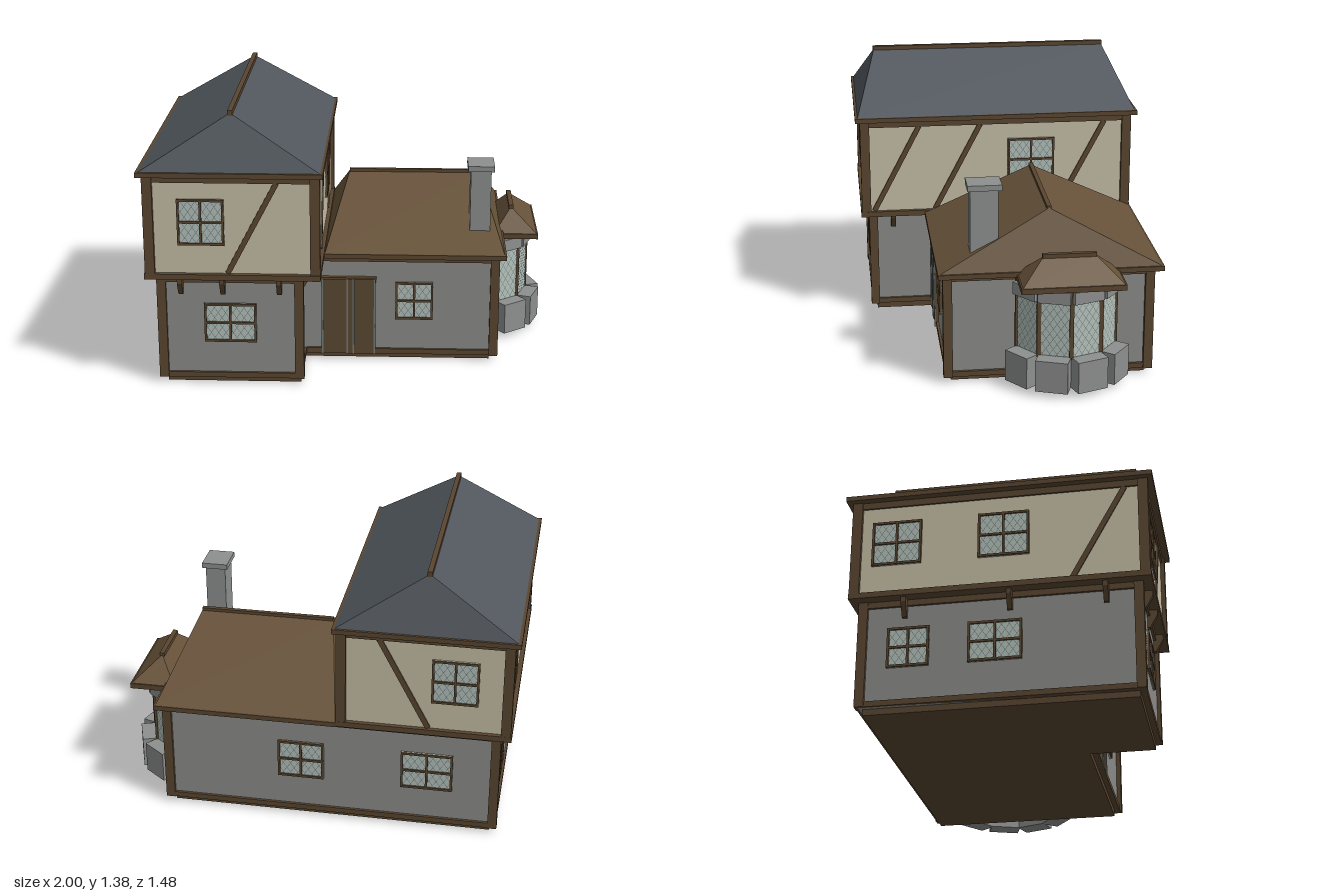
import * as THREE from 'three';
import { mergeGeometries } from 'three/addons/utils/BufferGeometryUtils.js';

export function createModel() {
  const root = new THREE.Group();
  root.name = 'timberFramedHouse';
  const mat = (name, color) => {
    const m = new THREE.MeshStandardMaterial({ color });
    m.name = name;
    return m;
  };
  const beam = mat('timber', 0x5a4630), plaster = mat('greyPlaster', 0x8c8c89), cream = mat('creamPlaster', 0xc6bfa6);
  const slate = mat('slate', 0x50565c), tile = mat('brownTile', 0x665138), doorWood = mat('doorWood', 0x5c4931);
  const glass = mat('glass', 0xb4c2bc), lead = mat('lead', 0x737d7b), stone = mat('stone', 0x8e8f8f);

  const add = (name, geo, m, parent = root) => {
    const mesh = new THREE.Mesh(geo, m);
    mesh.name = name;
    parent.add(mesh);
    return mesh;
  };
  // Box given by its extents
  const box = (name, m, x0, x1, y0, y1, z0, z1, parent) => {
    const g = new THREE.BoxGeometry(x1 - x0, y1 - y0, z1 - z0);
    g.translate((x0 + x1) / 2, (y0 + y1) / 2, (z0 + z1) / 2);
    return add(name, g, m, parent);
  };
  // Four-sided roof: a box whose top is drawn in to the ridge
  const hipRoof = (name, m, [x0, x1, z0, z1], y0, [tx0, tx1, tz0, tz1], y1) => {
    const g = new THREE.BoxGeometry(1, 1, 1), p = g.attributes.position;
    for (let i = 0; i < p.count; i++) {
      const top = p.getY(i) > 0, right = p.getX(i) > 0, front = p.getZ(i) > 0;
      p.setXYZ(i, top ? (right ? tx1 : tx0) : (right ? x1 : x0), top ? y1 : y0,
        top ? (front ? tz1 : tz0) : (front ? z1 : z0));
    }
    g.computeVertexNormals();
    add(name, g, m);
  };
  const post = (x, z, y0, y1, w = 0.045) => box('post', beam, x - w / 2, x + w / 2, y0, y1, z - w / 2, z + w / 2);
  const rail = (x0, x1, y0, y1, z0, z1) => box('rail', beam, x0, x1, y0, y1, z0, z1);

  // Diamond lattice clipped to a w by h pane
  const lattice = (w, h, parent) => {
    const parts = [], dx = 0.036, k = 1.45;
    for (const s of [1, -1]) {
      for (let c = -w - h; c < w + h; c += dx) {
        const xa = Math.max(-w / 2, c - h / 2 / k), xb = Math.min(w / 2, c + h / 2 / k);
        if (xb - xa < 0.005) continue;
        const ya = s * k * (xa - c), yb = s * k * (xb - c);
        const g = new THREE.PlaneGeometry(Math.hypot(xb - xa, yb - ya), 0.0025);
        g.rotateZ(Math.atan2(yb - ya, xb - xa));
        g.translate((xa + xb) / 2, (ya + yb) / 2, 0.007);
        parts.push(g);
      }
    }
    add('lattice', mergeGeometries(parts), lead, parent);
  };
  // Window facing local +z
  const windowAt = (x, y, z, rotY, w, h, mullions = true) => {
    const g = new THREE.Group();
    g.name = 'window';
    g.position.set(x, y, z);
    g.rotation.y = rotY;
    root.add(g);
    box('pane', glass, -w / 2, w / 2, -h / 2, h / 2, -0.003, 0.005, g);
    lattice(w, h, g);
    if (!mullions) return;
    const t = 0.011;
    for (const s of [-1, 0, 1]) {
      const cx = s * (w / 2 - t / 2), cy = s * (h / 2 - t / 2);
      box('upright', beam, cx - t / 2, cx + t / 2, -h / 2, h / 2, 0, 0.014, g);
      box('crossbar', beam, -w / 2, w / 2, cy - t / 2, cy + t / 2, 0, 0.013, g);
    }
  };
  // Diagonal brace: side view from a (along, y) to b, on a wall turned by rotY
  const brace = (x, z, rotY, a, b) => {
    const g = new THREE.Group();
    g.name = 'brace';
    g.position.set(x, 0, z);
    g.rotation.y = rotY;
    const m = add('diagonal', new THREE.BoxGeometry(Math.hypot(b[0] - a[0], b[1] - a[1]), 0.026, 0.024), beam, g);
    m.position.set((a[0] + b[0]) / 2, (a[1] + b[1]) / 2, 0);
    m.rotation.z = Math.atan2(b[1] - a[1], b[0] - a[0]);
    root.add(g);
  };
  // Wedge bracket under the overhang, pointing to local +x
  const bracket = (x, z, rotY) => {
    const s = new THREE.Shape([[0, 0.47], [0.018, 0.47], [0.055, 0.535], [0.055, 0.56], [0, 0.56]]
      .map(([a, b]) => new THREE.Vector2(a, b)));
    const g = new THREE.ExtrudeGeometry(s, { depth: 0.024, bevelEnabled: false });
    g.translate(0, 0, -0.012);
    const m = add('bracket', g, beam);
    m.position.set(x, 0, z);
    m.rotation.y = rotY;
  };
  const Q = Math.PI / 2;

  // Footings
  box('towerFooting', beam, -0.89, -0.23, 0, 0.03, -0.64, 0.64);
  box('wingFooting', beam, -0.23, 0.71, 0, 0.03, -0.64, 0.32);

  // Ground floor
  box('towerLowerWall', plaster, -0.91, -0.235, 0.03, 0.56, -0.655, 0.655);
  box('wingWall', plaster, -0.235, 0.73, 0.03, 0.56, -0.655, 0.335);
  for (const [x, z] of [[-0.905, 0.65], [-0.905, -0.65], [-0.235, 0.65], [0.73, 0.335], [0.73, -0.65]]) post(x, z, 0.03, 0.56);
  for (const [y0, y1] of [[0.03, 0.057], [0.53, 0.56]]) {
    rail(-0.92, -0.225, y0, y1, 0.64, 0.668);
    rail(-0.22, 0.74, y0, y1, 0.32, 0.348);
    rail(-0.92, 0.74, y0, y1, -0.668, -0.64);
    rail(-0.922, -0.89, y0, y1, -0.66, 0.66);
    rail(-0.25, -0.222, y0, y1, 0.34, 0.66);
    rail(0.715, 0.744, y0, y1, -0.66, 0.34);
  }
  for (const x of [-0.81, -0.605, -0.33]) bracket(x, 0.65, -Q);
  for (const z of [-0.45, 0.05, 0.5]) bracket(-0.905, z, Math.PI);
  bracket(-0.235, 0.545, 0);

  // Upper floor of the tower
  box('jettySlab', beam, -0.978, -0.127, 0.56, 0.588, -0.712, 0.715);
  box('towerUpperWall', cream, -0.955, -0.148, 0.585, 1.075, -0.69, 0.69);
  for (const x of [-0.95, -0.152]) {
    for (const z of [-0.687, 0.687]) post(x, z, 0.58, 1.075, 0.048);
    rail(x - 0.014, x + 0.014, 1.045, 1.078, -0.69, 0.69);
  }
  for (const z of [-0.687, 0.687]) rail(-0.955, -0.148, 1.045, 1.078, z - 0.014, z + 0.014);
  brace(0, 0.686, 0, [-0.575, 0.59], [-0.335, 1.045]);
  brace(0, -0.686, 0, [-0.575, 0.59], [-0.335, 1.045]);
  for (const z of [0.645, 0.325, -0.33]) brace(-0.152, 0, Q, [-z, 0.59], [-z + 0.24, 1.045]);
  brace(-0.951, 0, -Q, [0.35, 0.59], [0.6, 1.045]);

  // Tower roof
  box('towerEaves', beam, -1, -0.112, 1.078, 1.102, -0.74, 0.735);
  hipRoof('towerRoof', slate, [-0.985, -0.125, -0.728, 0.722], 1.102, [-0.557, -0.553, -0.615, 0.615], 1.365);
  rail(-0.567, -0.543, 1.355, 1.38, -0.62, 0.62);

  // Wing roof
  box('wingEaves', beam, -0.13, 0.785, 0.556, 0.58, -0.712, 0.382);
  hipRoof('wingRoof', tile, [-0.125, 0.775, -0.702, 0.372], 0.58, [-0.02, 0.66, -0.167, -0.163], 0.855);
  rail(-0.02, 0.66, 0.846, 0.866, -0.176, -0.154);

  // Chimney
  box('chimneyStack', stone, 0.602, 0.705, 0.62, 0.975, 0.085, 0.22);
  box('chimneyCap', stone, 0.587, 0.72, 0.972, 1, 0.068, 0.233);

  // Front windows, then back, left and right
  windowAt(-0.572, 0.32, 0.656, 0, 0.255, 0.2);
  windowAt(0.325, 0.32, 0.336, 0, 0.19, 0.2);
  windowAt(-0.7, 0.848, 0.691, 0, 0.225, 0.23);
  windowAt(-0.572, 0.32, -0.656, Math.PI, 0.255, 0.2);
  windowAt(0.055, 0.32, -0.656, Math.PI, 0.23, 0.2);
  windowAt(-0.7, 0.848, -0.691, Math.PI, 0.225, 0.23);
  windowAt(-0.911, 0.32, -0.43, -Q, 0.2, 0.2);
  windowAt(-0.911, 0.32, -0.02, -Q, 0.255, 0.2);
  windowAt(-0.956, 0.848, -0.49, -Q, 0.24, 0.23);
  windowAt(-0.956, 0.848, 0.025, -Q, 0.245, 0.23);
  windowAt(-0.147, 0.848, -0.183, Q, 0.245, 0.23);

  // Door
  box('door', doorWood, -0.145, 0.13, 0.03, 0.445, 0.33, 0.352);
  for (const x of [-0.14, -0.013, 0.018, 0.125]) box('doorStrip', lead, x - 0.004, x + 0.004, 0.03, 0.44, 0.33, 0.357);
  box('doorHead', beam, -0.147, 0.133, 0.437, 0.447, 0.33, 0.36);

  // Bay window: four faces around a half ring
  const ring = [[0.755, 0], [0.87, -0.09], [0.922, -0.24], [0.87, -0.39], [0.755, -0.48]];
  for (let i = 0; i < 4; i++) {
    const [ax, az] = ring[i], [bx, bz] = ring[i + 1];
    const len = Math.hypot(bx - ax, bz - az), rot = Math.atan2(-(bz - az), bx - ax);
    const side = new THREE.Group();
    side.name = 'bayFace';
    side.position.set((ax + bx) / 2, 0, (az + bz) / 2);
    side.rotation.y = rot;
    root.add(side);
    box('bayBase', stone, -len / 2, len / 2, 0.03, 0.19, -0.02, 0.08, side);
    box('bayLintel', stone, -len / 2, len / 2, 0.468, 0.53, -0.02, 0.032, side);
    windowAt((ax + bx) / 2, 0.33, (az + bz) / 2, rot, len, 0.28, false);
  }
  for (const [x, z] of ring) post(x, z, 0.18, 0.54, 0.02);
  const bayPlan = new THREE.Shape([...ring.map(([x, z]) => new THREE.Vector2(x, -z)),
    new THREE.Vector2(0.72, 0.48), new THREE.Vector2(0.72, 0)]);
  for (const y of [0.165, 0.525]) {
    const g = new THREE.ExtrudeGeometry(bayPlan, { depth: 0.02, bevelEnabled: false });
    g.rotateX(-Q);
    g.translate(0, y, 0);
    add('baySlab', g, beam);
  }
  box('bayEaves', beam, 0.74, 0.967, 0.54, 0.567, -0.495, 0.005);
  hipRoof('bayRoof', tile, [0.74, 0.96, -0.488, -0.002], 0.567, [0.828, 0.832, -0.365, -0.115], 0.675);
  rail(0.818, 0.842, 0.668, 0.688, -0.368, -0.11);

  return root;
}
